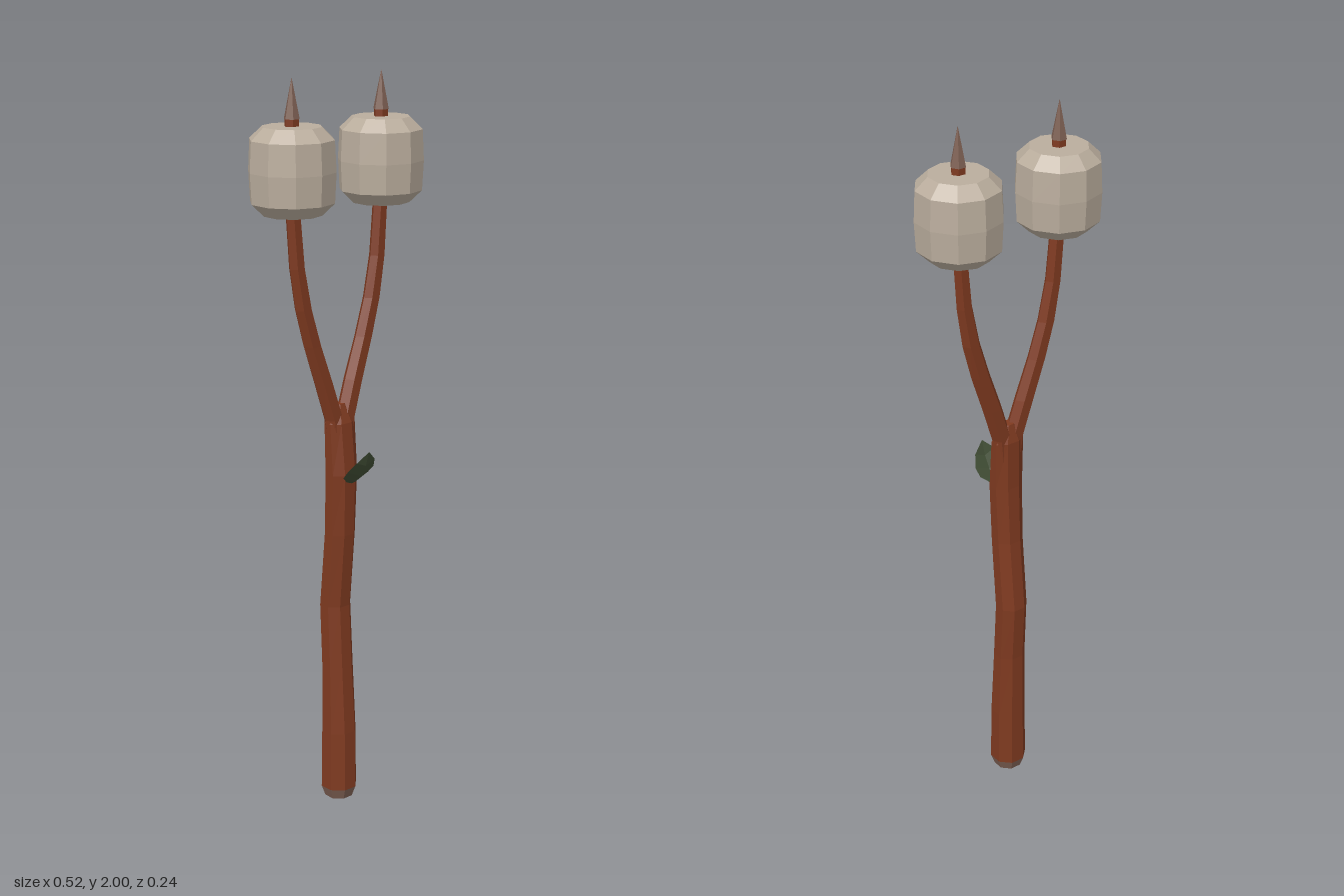
import * as THREE from 'three';

const mat = (name, color) => {
  const m = new THREE.MeshStandardMaterial({ color, flatShading: true });
  m.name = name;
  return m;
};

// Skin through level rings [x, y, z, rx, rz], capped at both ends.
function loft(rings, sides, turn = 0) {
  const pos = [];
  const at = ([x, y, z, rx, rz = rx], j) => {
    const a = turn + (j / sides) * Math.PI * 2;
    return [x + Math.sin(a) * rx, y, z + Math.cos(a) * rz];
  };
  const first = rings[0], last = rings[rings.length - 1];
  for (let j = 0; j < sides; j++) {
    for (let i = 0; i < rings.length - 1; i++) {
      const a = at(rings[i], j), b = at(rings[i], j + 1);
      const c = at(rings[i + 1], j + 1), d = at(rings[i + 1], j);
      pos.push(...a, ...b, ...c, ...a, ...c, ...d);
    }
    pos.push(...first.slice(0, 3), ...at(first, j + 1), ...at(first, j));
    pos.push(...last.slice(0, 3), ...at(last, j), ...at(last, j + 1));
  }
  const g = new THREE.BufferGeometry();
  g.setAttribute('position', new THREE.Float32BufferAttribute(pos, 3));
  g.computeVertexNormals();
  return g;
}

// Cupped leaf: rows of [y, z, halfWidth] from stem to tip.
function leafGeometry() {
  const rows = [
    [0.928, 0.05, 0.018], [0.938, 0.067, 0.044], [0.958, 0.086, 0.046],
    [0.99, 0.106, 0.032], [1.03, 0.119, 0.001],
  ];
  const pos = [];
  const at = ([y, z, w], s) => [s * w, y + Math.abs(s) * w * 0.4, z];
  for (let i = 0; i < rows.length - 1; i++) {
    for (const s of [-1, 0]) {
      const a = at(rows[i], s), b = at(rows[i], s + 1);
      const c = at(rows[i + 1], s + 1), d = at(rows[i + 1], s);
      pos.push(...a, ...b, ...c, ...a, ...c, ...d);
    }
  }
  const g = new THREE.BufferGeometry();
  g.setAttribute('position', new THREE.Float32BufferAttribute(pos, 3));
  g.computeVertexNormals();
  return g;
}

export function createModel() {
  const model = new THREE.Group();
  model.name = 'forkedRoastingStick';
  const bark = mat('bark', 0x7f3a20);
  const wood = mat('cutWood', 0x7e6053);
  const puff = mat('marshmallow', 0xbaad9d);
  const green = mat('leaf', 0x424f36);
  green.side = THREE.DoubleSide;

  const add = (name, geometry, material, parent = model) => {
    const m = new THREE.Mesh(geometry, material);
    m.name = name;
    parent.add(m);
  };

  // Gently bent trunk with a bevelled cut end
  const turn = Math.PI / 8;
  add('trunk', loft([
    [0, 0.03, 0, 0.051],
    [0, 0.2, 0, 0.049],
    [0, 0.4, -0.006, 0.045, 0.042],
    [0, 0.57, -0.015, 0.044, 0.042],
    [0, 0.78, 0.004, 0.044, 0.04],
    [0, 0.95, 0.01, 0.047, 0.038],
    [0, 1.09, 0.003, 0.047, 0.03],
    [0, 1.14, 0, 0.02, 0.015],
  ], 8, turn), bark);
  add('cutEnd', loft([[0, 0, 0, 0.04], [0, 0.03, 0, 0.051]], 8, turn), wood);

  // Each prong carries a marshmallow and ends in a sharpened tip
  for (const side of [-1, 1]) {
    const prong = new THREE.Group();
    prong.name = side > 0 ? 'leftProng' : 'rightProng';
    model.add(prong);
    const x = side * 0.152, z = -0.006;
    add('branch', loft([
      [side * 0.008, 1.0, 0.004, 0.03, 0.024],
      [side * 0.02, 1.1, 0.002, 0.029, 0.025],
      [side * 0.052, 1.2, -0.001, 0.029, 0.024],
      [side * 0.09, 1.31, -0.003, 0.028, 0.022],
      [side * 0.119, 1.41, -0.004, 0.026, 0.021],
      [side * 0.139, 1.52, -0.005, 0.023, 0.02],
      [side * 0.15, 1.66, z, 0.021, 0.019],
      [x, 1.905, z, 0.02, 0.018],
    ], 6, Math.PI / 6), bark);
    add('sharpTip', loft([
      [x, 1.9, z, 0.021], [x, 2, z, 0.0005],
    ], 6, Math.PI / 6), wood, prong);
    add('marshmallow', loft([
      [x, 1.66, z, 0.077], [x, 1.692, z, 0.11],
      [x, 1.77, z, 0.114], [x, 1.85, z, 0.11], [x, 1.882, z, 0.077],
    ], 10), puff, prong);
  }

  // Single leaf on the front of the trunk
  add('leaf', leafGeometry(), green);
  return model;
}
